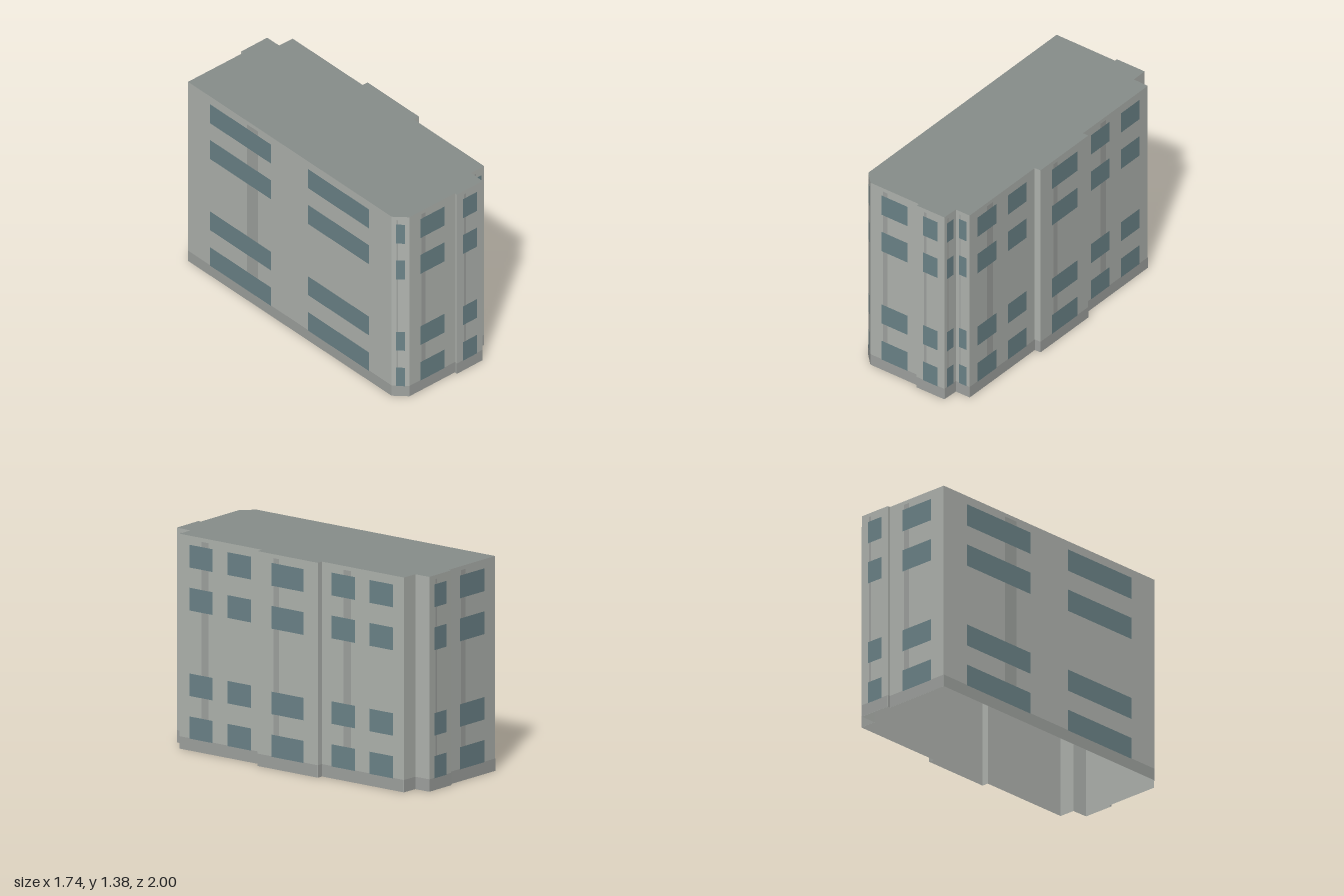
import * as THREE from 'three';

const HEIGHT = 1.385;
const BASE = 0.08;

// Footprint corners (x, z), walked so that outward is on the +z side of a +x run
const FOOTPRINT = [
  [-0.87, -0.59], [0.235, 0.978], [0.344, 0.997], [0.657, 0.775],
  [0.667, 0.793], [0.843, 0.666], [0.782, 0.572], [0.87, 0.508],
  [0.49, -0.033], [0.525, -0.06], [0.246, -0.457], [0.212, -0.434],
  [-0.167, -0.972], [-0.26, -0.91], [-0.325, -1.0], [-0.503, -0.873], [-0.492, -0.857],
];
// Walls of the recessed corner, which have no windows
const BLANK_WALLS = [12, 13];

// Bottom and top of each window row
const ROWS = [[0.077, 0.22], [0.352, 0.497], [0.903, 1.05], [1.18, 1.327]];

const wallMat = new THREE.MeshStandardMaterial({ color: 0xb1b5b0, side: THREE.DoubleSide });
const roofMat = new THREE.MeshStandardMaterial({ color: 0x888e8b, side: THREE.DoubleSide });
const trimMat = new THREE.MeshStandardMaterial({ color: 0xa0a3a0 });
const glassMat = new THREE.MeshStandardMaterial({ color: 0x6c8489 });

// Flat panel on a wall, x measured from the wall centre
function panel(name, x0, x1, y0, y1, offset, material) {
  const mesh = new THREE.Mesh(new THREE.PlaneGeometry(x1 - x0, y1 - y0), material);
  mesh.position.set((x0 + x1) / 2, (y0 + y1) / 2, offset);
  mesh.name = name;
  return mesh;
}

// One wall with its base band, vertical strip and windows
function facade([ax, az], [bx, bz], blank) {
  const group = new THREE.Group();
  group.name = 'facade';
  const length = Math.hypot(bx - ax, bz - az);
  const at = (t) => (t - 0.5) * length;
  group.add(panel('wall', at(0), at(1), 0, HEIGHT, 0, wallMat));
  group.add(panel('baseBand', at(0), at(1), 0, BASE, 0.001, trimMat));

  if (length > 0.08 && !blank) {
    const strip = length > 1.5 ? [0.29, 0.345] : [0.265, 0.355];
    group.add(panel('verticalStrip', at(strip[0]), at(strip[1]), BASE, 1.36, 0.001, trimMat));
    let spans = [[0.235, 0.77]];
    if (length > 1.5) spans = [[0.11, 0.41], [0.59, 0.89]];
    else if (length > 0.6) spans = [[0.12, 0.405], [0.585, 0.87]];
    for (const [y0, y1] of ROWS) {
      for (const [t0, t1] of spans) {
        group.add(panel('window', at(t0), at(t1), y0, y1, 0.002, glassMat));
      }
    }
  }

  group.position.set((ax + bx) / 2, 0, (az + bz) / 2);
  group.rotation.y = Math.atan2(az - bz, bx - ax);
  return group;
}

export function createModel() {
  const model = new THREE.Group();
  model.name = 'apartmentBlock';

  // Flat roof over a shell that is open underneath
  const shape = new THREE.Shape(FOOTPRINT.map(([x, z]) => new THREE.Vector2(x, -z)));
  const roof = new THREE.Mesh(new THREE.ShapeGeometry(shape), roofMat);
  roof.rotation.x = -Math.PI / 2;
  roof.position.y = HEIGHT;
  roof.name = 'roof';
  model.add(roof);

  // Walls all round
  FOOTPRINT.forEach((corner, i) => {
    const next = FOOTPRINT[(i + 1) % FOOTPRINT.length];
    model.add(facade(corner, next, BLANK_WALLS.includes(i)));
  });
  return model;
}
